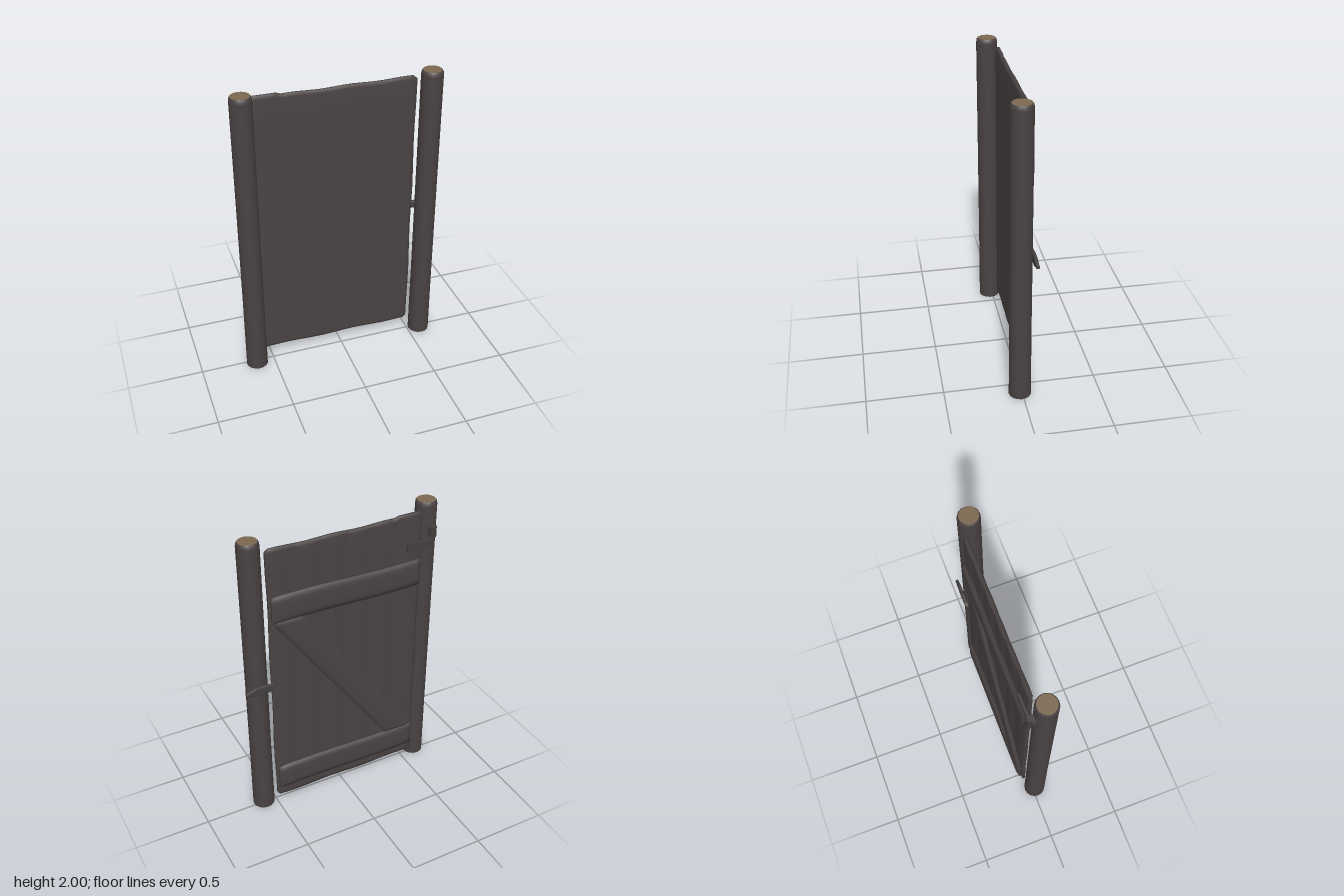
import * as THREE from 'three';
import { mergeVertices } from 'three/addons/utils/BufferGeometryUtils.js';

const mat = (name, color, side = THREE.FrontSide) => {
  const m = new THREE.MeshStandardMaterial({ color, side });
  m.name = name;
  return m;
};

// Worn board: a box with a thinned rim, optional shear and a rule that moves each point
function softBoard(w, h, d, { nx = 5, ny = 5, bevel = 0.02, shear = 0, warp = null } = {}) {
  const geo = new THREE.BoxGeometry(1, 1, 1, nx, ny, 1);
  geo.deleteAttribute('uv');
  geo.deleteAttribute('normal');
  const place = (u, n, size) => {
    const i = Math.round((u + 0.5) * n);
    if (i === 0) return -size / 2;
    if (i === n) return size / 2;
    return -size / 2 + bevel + ((i - 1) / (n - 2)) * (size - 2 * bevel);
  };
  const p = geo.attributes.position;
  const v = new THREE.Vector3();
  for (let i = 0; i < p.count; i++) {
    v.fromBufferAttribute(p, i);
    const rim = Math.abs(v.x) > 0.499 || Math.abs(v.y) > 0.499;
    v.set(place(v.x, nx, w), place(v.y, ny, h), v.z * d * (rim ? 0.5 : 1));
    if (warp) warp(v, rim);
    v.x += shear * v.y;
    p.setXYZ(i, v.x, v.y, v.z);
  }
  const out = mergeVertices(geo, 1e-5);
  out.computeVertexNormals();
  return out;
}

export function createModel() {
  const model = new THREE.Group();
  model.name = 'gate';
  const wood = mat('dark wood', 0x4a4343);
  const postWood = mat('post bark', 0x4a4242, THREE.DoubleSide);
  const cutWood = mat('cut wood', 0x7b6850);
  const iron = mat('iron', 0x444040);

  const add = (name, geo, material, x, y, z, parent = model) => {
    const mesh = new THREE.Mesh(geo, material);
    mesh.name = name;
    mesh.position.set(x, y, z);
    parent.add(mesh);
    return mesh;
  };

  // Round posts with a worn top edge, pale cut ends and open feet
  for (const [name, x, z] of [['rightPost', -0.62, 0.018], ['leftPost', 0.584, 0.014]]) {
    const post = new THREE.Group();
    post.name = name;
    post.position.set(x, 0, z);
    model.add(post);
    const profile = [[0.073, 0], [0.071, 0.5], [0.07, 1.4], [0.07, 1.97], [0.067, 1.988], [0.06, 1.997]]
      .map(([r, y]) => new THREE.Vector2(r, y));
    add('postShaft', new THREE.LatheGeometry(profile, 16), postWood, 0, 0, 0, post);
    const cap = add('postCutEnd', new THREE.CircleGeometry(0.0605, 16), cutWood, 0, 1.998, 0, post);
    cap.rotation.x = -Math.PI / 2;
  }

  // Door of joined planks: uneven ends and shallow grooves, deeper behind
  const planks = (v, rim) => {
    const plank = Math.abs(Math.sin((v.x / 1.06 + 0.5) * Math.PI * 6));
    if (!rim) v.z += v.z < 0 ? 0.009 * (1 - plank) : -0.002 * (1 - plank);
    if (v.y > 0.9) v.y += v.x < -0.36 ? 0.012 : 0.003 * Math.sin(v.x * 17);
    if (v.y < -0.9) v.y += 0.004 * Math.sin(v.x * 13);
    if (Math.abs(v.y) > 0.92 && Math.abs(v.x) > 0.52) v.y -= Math.sign(v.y) * 0.018;
    if (Math.abs(v.x) > 0.52) v.x += 0.003 * Math.sin(v.y * 9);
  };
  add('doorPlanks', softBoard(1.056, 1.875, 0.034, { nx: 38, ny: 14, warp: planks }),
    wood, -0.023, 1.008, -0.043);

  // Crosspieces and the sloping brace on the back
  const wavy = (v) => { v.y += 0.004 * Math.sin(v.x * 7); };
  const rail = softBoard(1.03, 0.18, 0.036, { nx: 12, ny: 6, bevel: 0.03, warp: wavy });
  add('upperRail', rail, wood, -0.025, 1.55, -0.067);
  add('lowerRail', rail, wood, -0.025, 0.24, -0.067);
  add('brace', softBoard(0.215, 1.16, 0.034, { nx: 6, ny: 8, bevel: 0.035, shear: 0.715 }),
    wood, -0.02, 0.895, -0.066);

  // Upper hinge: strap, post plate and upright pin
  const hinge = new THREE.Group();
  hinge.name = 'hinge';
  model.add(hinge);
  add('hingeStrap', new THREE.BoxGeometry(0.17, 0.055, 0.014), iron, -0.525, 1.735, -0.071, hinge);
  add('hingePlate', new THREE.BoxGeometry(0.05, 0.06, 0.022), iron, -0.625, 1.815, -0.06, hinge);
  add('hingePin', new THREE.CylinderGeometry(0.02, 0.02, 0.07, 8), iron, -0.622, 1.815, -0.077, hinge);
  add('hingeKnuckle', new THREE.CylinderGeometry(0.016, 0.016, 0.07, 8), iron, -0.62, 1.735, -0.071, hinge);

  // Pointed turning latch
  const outline = new THREE.Shape(
    [[-0.1, 0.005], [-0.085, -0.012], [-0.025, -0.028], [0.03, -0.026], [0.1, -0.005],
      [0.1, 0.005], [0.035, 0.026], [-0.02, 0.028], [-0.085, 0.02]]
      .map(([x, y]) => new THREE.Vector2(x, y)));
  const latch = new THREE.ExtrudeGeometry(outline,
    { depth: 0.008, bevelEnabled: true, bevelThickness: 0.006, bevelSize: 0.004, bevelSegments: 2 });
  add('latch', latch, iron, 0.587, 1, -0.073);

  return model;
}
